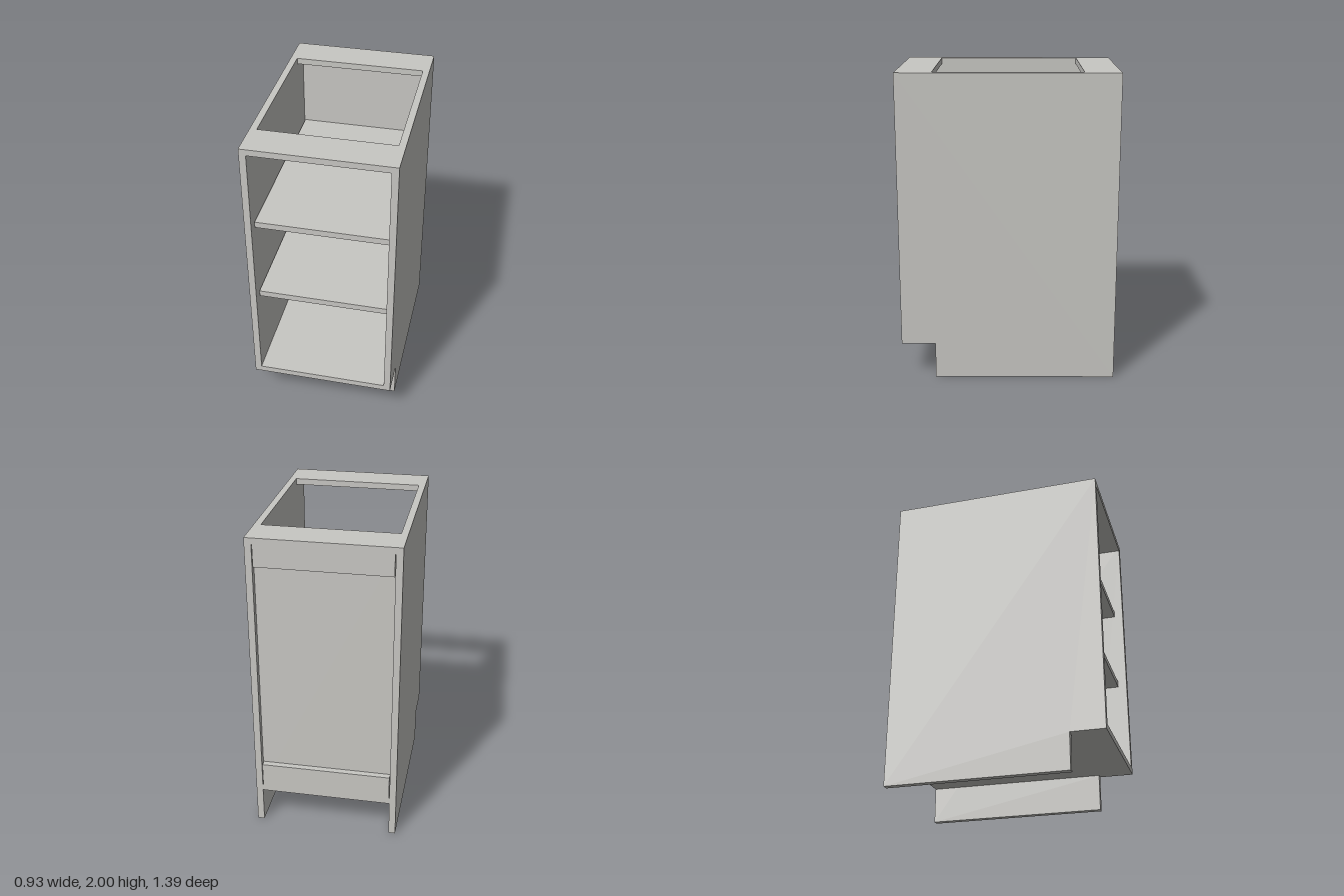
import * as THREE from 'three';

const T = 0.04;                    // board thickness
const HALF_W = 0.463, IN = 0.42;   // outer and inner half width
const FRONT = 0.695, BACK = -0.695;
const FLOOR = 0.235, TOP = 2;

export function createModel() {
  const cabinet = new THREE.Group();
  cabinet.name = 'baseCabinet';

  const board = new THREE.MeshStandardMaterial({ color: 0xc8c7c3 });
  board.name = 'paleGreyBoard';

  // A board given by its extents: half width, y range, z range
  const addBoard = (name, halfW, y0, y1, z0, z1) => {
    const mesh = new THREE.Mesh(new THREE.BoxGeometry(2 * halfW, y1 - y0, z1 - z0), board);
    mesh.position.set(0, (y0 + y1) / 2, (z0 + z1) / 2);
    mesh.name = name;
    cabinet.add(mesh);
  };

  // Side panels with a toe-kick notch; profile drawn as (-z, y)
  const profile = new THREE.Shape([
    [-0.475, 0], [-BACK, 0], [-BACK, TOP], [-FRONT, TOP], [-FRONT, FLOOR], [-0.475, FLOOR],
  ].map(([u, y]) => new THREE.Vector2(u, y)));
  const sideGeometry = new THREE.ExtrudeGeometry(profile, { depth: HALF_W - IN, bevelEnabled: false });
  sideGeometry.rotateY(Math.PI / 2);
  for (const [name, x] of [['leftSide', IN], ['rightSide', -HALF_W]]) {
    const side = new THREE.Mesh(sideGeometry, board);
    side.position.x = x;
    side.name = name;
    cabinet.add(side);
  }

  // Floor and the two top stretchers
  addBoard('bottomPanel', IN, FLOOR, FLOOR + T, BACK, FRONT);
  addBoard('frontStretcher', IN, TOP - T, TOP, 0.465, FRONT);
  addBoard('backStretcher', IN, TOP - T, TOP, BACK, -0.467);

  // Inset back panel held by two rails
  addBoard('backPanel', IN, FLOOR + T, TOP - T, BACK + T, BACK + 2 * T);
  addBoard('upperBackRail', 0.416, 1.82, TOP - T, BACK, BACK + T);
  addBoard('lowerBackRail', 0.416, FLOOR + T, 0.435, BACK, BACK + T);

  // Shelves, set back slightly from the front
  [0.86, 1.41].forEach((y, i) => addBoard(`shelf${i + 1}`, 0.416, y, y + T, BACK + 2 * T, 0.637));

  return cabinet;
}
